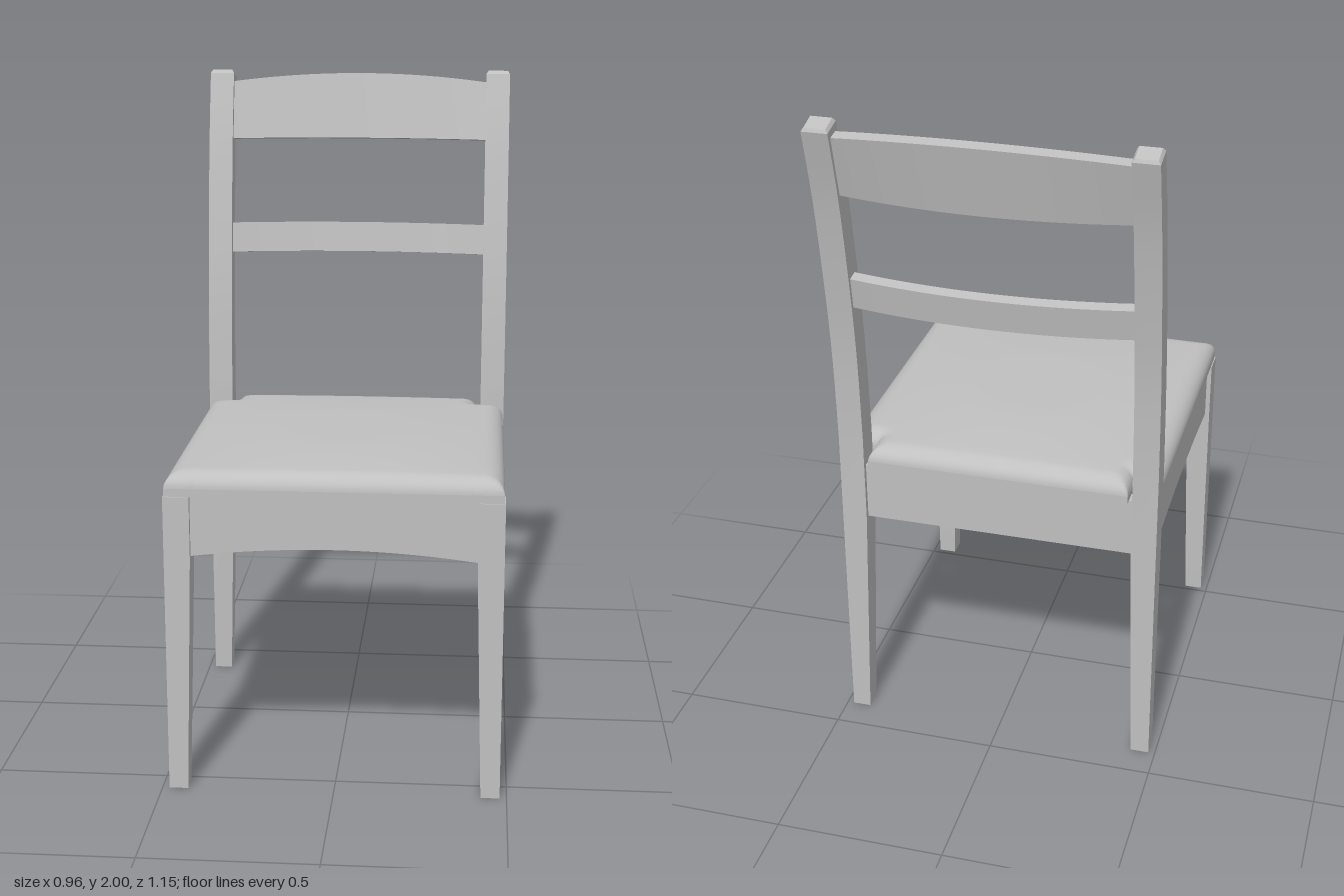
import * as THREE from 'three';
import { toCreasedNormals } from 'three/addons/utils/BufferGeometryUtils.js';

const wood = new THREE.MeshStandardMaterial({ color: 0xc0c0c0 });
wood.name = 'light grey';

function part(group, name, geometry) {
  const mesh = new THREE.Mesh(geometry, wood);
  mesh.name = name;
  group.add(mesh);
  return mesh;
}

// Skin a row of four-cornered rings and close both ends
function loft(rings) {
  const pos = [];
  const quad = (a, b, c, d) => pos.push(...a, ...b, ...c, ...a, ...c, ...d);
  for (let i = 0; i < rings.length - 1; i++) {
    for (let j = 0; j < 4; j++) {
      const k = (j + 1) % 4;
      quad(rings[i][j], rings[i][k], rings[i + 1][k], rings[i + 1][j]);
    }
  }
  const [a, b, c, d] = rings[0];
  quad(d, c, b, a);
  quad(...rings[rings.length - 1]);
  const g = new THREE.BufferGeometry();
  g.setAttribute('position', new THREE.Float32BufferAttribute(pos, 3));
  return toCreasedNormals(g, 0.4);
}

// Ring of a leg on one side: inner and outer x, front and back z with their heights
function legRing(side, inner, outer, zf, yf, zb, yb) {
  const l = side > 0 ? inner : -outer;
  const r = side > 0 ? outer : -inner;
  return [[r, yf, zf], [r, yb, zb], [l, yb, zb], [l, yf, zf]];
}

function frontLeg(side) {
  return loft([
    legRing(side, 0.425, 0.48, 0.576, 0, 0.517, 0),
    legRing(side, 0.405, 0.48, 0.576, 0.705, 0.497, 0.705),
    legRing(side, 0.405, 0.48, 0.576, 0.885, 0.497, 0.885),
  ]);
}

// Straight tapered leg that sweeps backwards above the seat
function backPost(side) {
  const rings = [
    legRing(side, 0.425, 0.48, -0.347, 0, -0.405, 0),
    legRing(side, 0.405, 0.48, -0.328, 0.705, -0.405, 0.705),
  ];
  const front = new THREE.SplineCurve([[-0.328, 0.98], [-0.345, 1.25], [-0.373, 1.48],
    [-0.424, 1.77], [-0.482, 1.99]].map((p) => new THREE.Vector2(...p)));
  const back = new THREE.SplineCurve([[-0.405, 0.98], [-0.418, 1.24], [-0.445, 1.47],
    [-0.493, 1.755], [-0.548, 1.975]].map((p) => new THREE.Vector2(...p)));
  for (let i = 0; i <= 16; i++) {
    const f = front.getPoint(i / 16);
    const b = back.getPoint(i / 16);
    rings.push(legRing(side, 0.405, 0.48, f.x, f.y, b.x, b.y));
  }
  rings.push(legRing(side, 0.412, 0.473, -0.491, 2.0, -0.544, 1.985)); // chamfered tip
  return loft(rings);
}

// Bowed slat: z values are at the ends, bow pushes the middle back, crown lifts its top edge
function slat({ bottom, top, crown, zBottom, zTop, thick, bow }) {
  const rings = [];
  for (let i = 0; i <= 24; i++) {
    const t = i / 12 - 1;
    const m = 1 - t * t;
    const x = 0.41 * t;
    const z0 = zBottom - bow * m;
    const z1 = zTop - bow * m;
    const y1 = top + crown * m;
    rings.push([[x, y1 - 0.006, z1 - thick], [x, y1, z1],
      [x, bottom, z0], [x, bottom - 0.006, z0 - thick]]);
  }
  return loft(rings);
}

// Rail with an arched lower edge, running along x and centred
function apron(length, arch, thick) {
  const s = new THREE.Shape();
  const h = length / 2;
  s.moveTo(-h, 0.708);
  s.quadraticCurveTo(0, 0.708 + 2 * arch, h, 0.708);
  s.lineTo(h, 0.886);
  s.lineTo(-h, 0.886);
  const g = new THREE.ExtrudeGeometry(s, { depth: thick, bevelEnabled: false, curveSegments: 20 });
  g.translate(0, 0, -thick / 2);
  return toCreasedNormals(g, 0.4);
}

// Cushion outline: half width, front, notch depth and notch width around the posts
const W = 0.477, F = 0.571, B = -0.405, NZ = -0.323, NX = 0.392;
const BASE = 0.885, LIP = 0.908;

function cushionBase() {
  const s = new THREE.Shape([[-W, -F], [W, -F], [W, -NZ], [NX, -NZ], [NX, -B],
    [-NX, -B], [-NX, -NZ], [-W, -NZ]].map((p) => new THREE.Vector2(...p)));
  const g = new THREE.ExtrudeGeometry(s, { depth: LIP - BASE, bevelEnabled: false });
  g.rotateX(-Math.PI / 2);
  g.translate(0, BASE, 0);
  return g;
}

// Height rises over a rounded rim, then swells gently to the middle
function cushionHeight(x, z) {
  const ax = Math.abs(x);
  const notch = Math.hypot(Math.max(z - NZ, 0), Math.max(NX - ax, 0));
  const d = Math.max(0, Math.min(W - ax, F - z, z - B, notch));
  const k = 1 - Math.min(d / 0.055, 1);
  const u = x / W, v = (z - 0.083) / 0.488;
  const dome = Math.max(0, (1 - u * u) * (1 - v * v));
  return LIP + 0.045 * Math.sqrt(1 - k * k) + 0.021 * Math.min(1, dome * 1.2);
}

function cushionTop() {
  const rim = [0, 0.001, 0.004, 0.009, 0.016, 0.026, 0.04, 0.055];
  const span = (a, b, n) => Array.from({ length: n }, (_, i) => a + ((b - a) * (i + 1)) / (n + 1));
  const half = [...rim.map((r) => W - r), ...rim.map((r) => NX - r), ...span(0, NX - 0.055, 10)];
  const xs = [...half, 0, ...half.map((x) => -x)].sort((a, b) => a - b);
  const zs = [...rim.map((r) => B + r), ...rim.map((r) => NZ + r), ...rim.map((r) => F - r),
    ...span(NZ + 0.055, F - 0.055, 22)].sort((a, b) => a - b);
  const pos = [], index = [];
  const n = xs.length;
  zs.forEach((z) => xs.forEach((x) => pos.push(x, cushionHeight(x, z), z)));
  for (let j = 0; j < zs.length - 1; j++) {
    for (let i = 0; i < n - 1; i++) {
      const cx = Math.abs(xs[i] + xs[i + 1]) / 2;
      const cz = (zs[j] + zs[j + 1]) / 2;
      if (cx > NX && cz < NZ) continue; // leave room for the posts
      const a = j * n + i;
      index.push(a, a + n, a + 1, a + 1, a + n, a + n + 1);
    }
  }
  const g = new THREE.BufferGeometry();
  g.setAttribute('position', new THREE.Float32BufferAttribute(pos, 3));
  g.setIndex(index);
  g.computeVertexNormals();
  return g;
}

export function createModel() {
  const chair = new THREE.Group();
  chair.name = 'chair';

  // Legs and side rails
  for (const [side, label] of [[1, 'left'], [-1, 'right']]) {
    part(chair, label + 'FrontLeg', frontLeg(side));
    part(chair, label + 'BackPost', backPost(side));
    const rail = part(chair, label + 'Apron', apron(0.835, 0.02, 0.04));
    rail.rotation.y = Math.PI / 2;
    rail.position.set(side * 0.446, 0, 0.084);
  }

  // Front and back rails
  part(chair, 'frontApron', apron(0.82, 0.028, 0.04)).position.z = 0.542;
  part(chair, 'backApron', apron(0.82, 0, 0.04)).position.z = -0.37;

  // Backrest
  part(chair, 'topSlat', slat({ bottom: 1.785, top: 1.963, crown: 0.025,
    zBottom: -0.445, zTop: -0.49, thick: 0.038, bow: 0.046 }));
  part(chair, 'lowerSlat', slat({ bottom: 1.425, top: 1.518, crown: 0,
    zBottom: -0.388, zTop: -0.402, thick: 0.036, bow: 0.042 }));

  // Seat cushion
  const seat = new THREE.Group();
  seat.name = 'seat';
  part(seat, 'cushionBase', cushionBase());
  part(seat, 'cushionTop', cushionTop());
  chair.add(seat);
  return chair;
}
